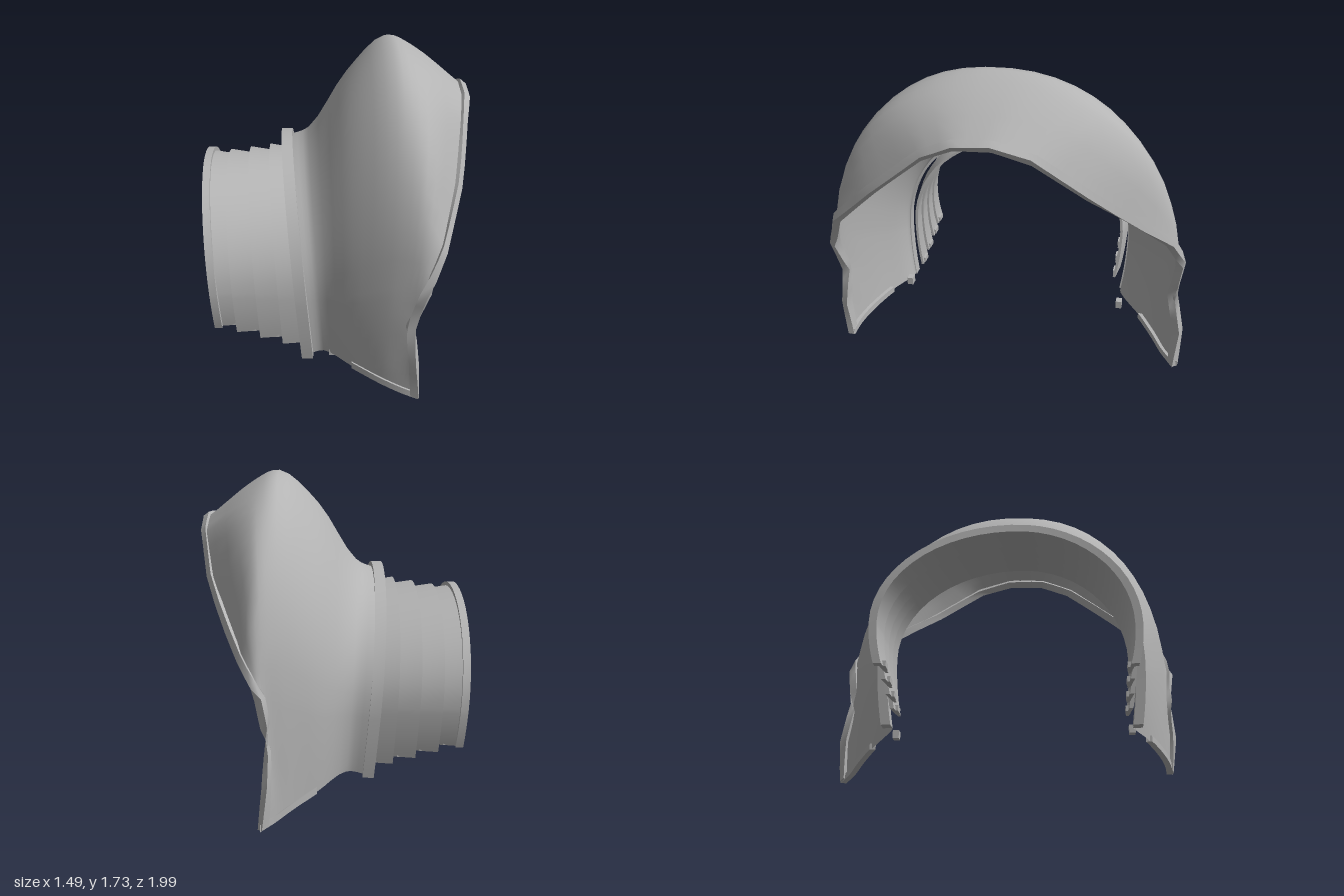
import * as THREE from 'three';
import { mergeGeometries } from 'three/addons/utils/BufferGeometryUtils.js';

const V = (x, y, z) => new THREE.Vector3(x, y, z);
const SEG = 45;
const mix = THREE.MathUtils.lerp;

// Arch running from the front foot (u = 0) over the top (z = zT) to the back foot (u = 1).
// It lies in the tilted plane through the front foot, the top and the back foot.
function arch({ xT, xF, xB, yT, yc, zF, zT, zB, yF, yB, pow = 1, powB = pow }) {
  const yaw = (xF - xB) / (zF - zB);
  const tilt = (xT - xF - yaw * (zT - zF)) / (yT - yF);
  return (u) => {
    const front = u < 0.5;
    const zs = front ? zF : zB, foot = front ? yF : yB, e = front ? pow : powB;
    const s = Math.min(u, 1 - u);
    let y, z;
    if (s < 0.2) {
      const k = 1 - s / 0.2;
      y = mix(yc, foot, k);
      z = zs - Math.sign(zs) * 0.03 * k * k;
    } else {
      const a = ((s - 0.2) / 0.3) * Math.PI / 2;
      y = yc + (yT - yc) * Math.sin(a) ** e;
      z = zT + (zs - zT) * Math.max(0, Math.cos(a)) ** e;
    }
    return V(xF + yaw * (z - zF) + tilt * (y - yF), y, z);
  };
}

// Smooth surface through rows of points.
function loft(rows) {
  const n = rows[0].length, pos = [], idx = [];
  rows.forEach((r) => r.forEach((p) => pos.push(p.x, p.y, p.z)));
  for (let i = 0; i < rows.length - 1; i++) {
    for (let j = 0; j < n - 1; j++) {
      const a = i * n + j, b = a + 1, c = a + n, d = c + 1;
      idx.push(a, c, d, a, d, b);
    }
  }
  const g = new THREE.BufferGeometry();
  g.setAttribute('position', new THREE.Float32BufferAttribute(pos, 3));
  g.setIndex(idx);
  g.computeVertexNormals();
  return g;
}

// Sweep a closed [axial, radial] profile along points, with sharp corners and end caps.
function sweep(points, profile, axialAt = () => V(1, 0, 0)) {
  const rails = profile.map(([a, r]) => points.map((p, i) => {
    const axial = axialAt(i);
    const out = V(0, Math.max(0, p.y - 0.55), p.z - 0.05);
    out.addScaledVector(axial, -out.dot(axial)).normalize();
    return p.clone().addScaledVector(axial, a).addScaledVector(out, r);
  }));
  const parts = rails.map((r, i) => loft([r, rails[(i + 1) % rails.length]]));
  const [s, e] = [0, points.length - 1].map((k) => rails.map((r) => r[k]));
  parts.push(loft([[s[0], s[1]], [s[3], s[2]]]), loft([[e[0], e[3]], [e[1], e[2]]]));
  return mergeGeometries(parts);
}

const box = (a0, a1, r0, r1) => [[a0, r1], [a1, r1], [a1, r0], [a0, r0]];
const sample = (f) => Array.from({ length: SEG + 1 }, (_, i) => f(i / SEG));

// Angular flared edge of the shell, front foot to back foot
const EDGE = [
  V(0.465, 0.075, 0.935), V(0.45, 0.28, 0.965), V(0.43, 0.5, 0.945), V(0.495, 0.7, 0.98),
  V(0.575, 0.905, 0.905), V(0.65, 1.14, 0.66), V(0.7, 1.385, 0.37), V(0.725, 1.465, 0.2),
  V(0.728, 1.48, 0), V(0.71, 1.42, -0.2), V(0.63, 1.21, -0.47), V(0.425, 0.875, -0.885),
  V(0.32, 0.7, -0.965), V(0.285, 0.48, -0.935), V(0.295, 0.25, -0.98), V(0.32, 0.025, -0.965),
];
function edge(u) {
  const t = u * (EDGE.length - 1), i = Math.min(Math.floor(t), EDGE.length - 2);
  return EDGE[i].clone().lerp(EDGE[i + 1], t - i);
}

export function createModel() {
  const group = new THREE.Group();
  const metal = new THREE.MeshStandardMaterial({ color: 0xb4b4b4, side: THREE.DoubleSide });
  metal.name = 'plain grey';
  const add = (name, geometry) => {
    const m = new THREE.Mesh(geometry, metal);
    m.name = name;
    group.add(m);
    return m;
  };

  // Shell cross-sections from the neck outwards
  const neck = arch({ xT: -0.25, xF: -0.115, xB: -0.215, yT: 1.175, yc: 0.55, zF: 0.74, zT: 0.12, zB: -0.63, yF: 0.18, yB: 0.18 });
  const sections = [
    neck,
    arch({ xT: -0.13, xF: -0.03, xB: -0.1, yT: 1.23, yc: 0.56, zF: 0.73, zT: 0.12, zB: -0.635, yF: 0.2, yB: 0.2 }),
    arch({ xT: 0.09, xF: 0.12, xB: 0.05, yT: 1.56, yc: 0.61, zF: 0.83, zT: 0.1, zB: -0.775, yF: 0.17, yB: 0.14, pow: 0.93, powB: 0.97 }),
    arch({ xT: 0.31, xF: 0.27, xB: 0.17, yT: 1.75, yc: 0.69, zF: 0.91, zT: 0.05, zB: -0.87, yF: 0.13, yB: 0.09, pow: 0.87, powB: 0.93 }),
    arch({ xT: 0.46, xF: 0.38, xB: 0.25, yT: 1.69, yc: 0.7, zF: 0.95, zT: 0.05, zB: -0.93, yF: 0.1, yB: 0.05, pow: 0.87, powB: 0.93 }),
    edge,
  ];
  const columns = sample((u) => new THREE.CatmullRomCurve3(sections.map((f) => f(u))).getPoints(20));
  add('shoulderShell', loft(columns[0].map((_, i) => columns.map((c) => c[i]))));

  // Raised border following the shell's slope at the flared edge
  const slope = columns.map((c) => c[20].clone().sub(c[18]).normalize());
  add('outerRim', sweep(sample(edge), box(-0.04, 0.005, -0.02, 0.02), (i) => slope[i]));

  // Two lower hems
  for (const [name, u] of [['frontHem', 0], ['backHem', 1]]) {
    add(name, sweep(columns[u * SEG].slice(8), box(-0.005, 0.03, -0.02, 0.015), () => V(0, 1, 0)));
  }

  // Collar around the neck
  add('collar', sweep(sample(neck), box(-0.03, 0.03, -0.012, 0.04)));

  // Overlapping sleeve bands: [top x, front x, back x, top y, foot y]
  const bands = [
    [-0.71, -0.605, -0.71, 1.075, 0.34],
    [-0.585, -0.495, -0.585, 1.08, 0.305],
    [-0.465, -0.37, -0.465, 1.1, 0.27],
    [-0.35, -0.25, -0.345, 1.12, 0.235],
  ];
  bands.forEach(([xT, xF, xB, yT, foot], i) => {
    const pts = sample(arch({ xT, xF, xB, yT, yc: 0.55, zF: 0.725, zT: 0.13, zB: -0.605, yF: foot, yB: foot }));
    add('sleeveBand' + (i + 1), sweep(pts, [[0, 0], [0.13, -0.02], [0.13, -0.035], [0, -0.022]]));
    if (i === 0) add('cuffRim', sweep(pts, box(-0.005, 0.035, -0.022, 0.018)));
    // Small joint tabs at the feet
    for (const [x, z] of [[xF, 0.67], [xB, -0.55]]) {
      add('bandTab', new THREE.BoxGeometry(0.06, 0.03, 0.025)).position.set(x + 0.07, foot + 0.015, z);
    }
  });

  // Pegs where the hems meet the neck
  for (const z of [0.7, -0.605]) {
    add('hemPeg', new THREE.BoxGeometry(0.045, 0.045, 0.035)).position.set(0.02, 0.205, z);
  }
  return group;
}
